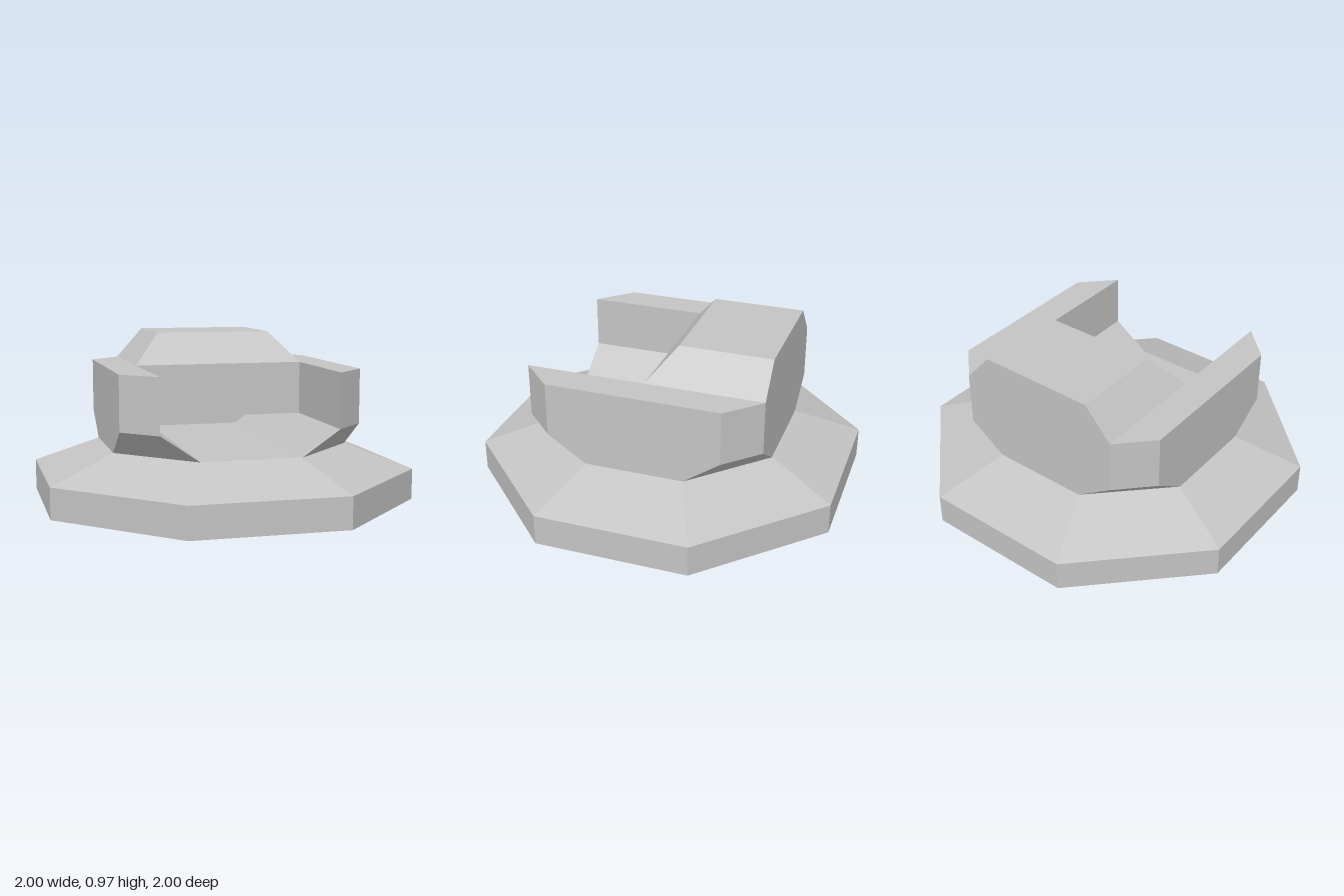
import * as THREE from 'three';
import { ConvexGeometry } from 'three/addons/geometries/ConvexGeometry.js';

export function createModel() {
  const model = new THREE.Group();
  model.name = 'octagonalStand';

  const grey = new THREE.MeshStandardMaterial({ color: 0xc4c4c4 });
  grey.name = 'plain grey';
  grey.side = THREE.DoubleSide;

  const add = (name, geometry, parent = model) => {
    const mesh = new THREE.Mesh(geometry, grey);
    mesh.name = name;
    parent.add(mesh);
    return mesh;
  };
  const hull = (points) => new ConvexGeometry(points.map((p) => new THREE.Vector3(...p)));

  // Heights and widths shared by the upper parts
  const floorY = 0.365, foldY = 0.505, rimY = 0.8, capY = 0.97;
  const front = 0.657, back = -0.645, cornerF = 0.48, cornerB = -0.467;
  const inner = 0.475, outer = 0.65, foot = 0.27;

  // Eight-sided base, profile given as distance to the flat sides
  const profile = [[0, 0], [0.57, 0], [1, 0.057], [1, 0.227], [outer, floorY], [0, floorY]]
    .map(([a, y]) => new THREE.Vector2(a / Math.cos(Math.PI / 8), y));
  const base = new THREE.LatheGeometry(profile, 8, Math.PI / 8).toNonIndexed();
  base.computeVertexNormals();
  add('base', base);

  // Side walls with a sloping foot, one on each side
  for (const s of [-1, 1]) {
    const side = new THREE.Group();
    side.name = s > 0 ? 'leftWall' : 'rightWall';
    model.add(side);

    const wall = [];
    for (const y of [foldY, rimY]) {
      wall.push([s * inner, y, front], [s * outer, y, cornerF],
        [s * outer, y, cornerB], [s * inner, y, back]);
    }
    add('wall', hull(wall), side);

    add('wallFoot', hull([
      [s * foot, floorY, front], [s * inner, foldY, front],
      [s * outer, foldY, cornerF], [s * outer, floorY, foot],
      [s * foot, floorY, back], [s * inner, foldY, back],
      [s * outer, foldY, cornerB], [s * outer, floorY, -foot],
    ]), side);
  }

  // Raised block bridging the walls at the back, bevelled on three sides
  const block = [];
  for (const s of [-1, 1]) {
    for (const y of [foldY, rimY]) block.push([s * inner, y, 0], [s * inner, y, back]);
    block.push([s * 0.325, capY, -0.14], [s * 0.325, capY, back]);
  }
  add('backBlock', hull(block));

  // Plate closing the channel under the block at the back
  const plate = new THREE.Shape([
    new THREE.Vector2(-foot, floorY), new THREE.Vector2(foot, floorY),
    new THREE.Vector2(inner, foldY), new THREE.Vector2(-inner, foldY),
  ]);
  const backPlate = add('backPlate', new THREE.ShapeGeometry(plate).rotateY(Math.PI));
  backPlate.position.z = back;

  return model;
}
